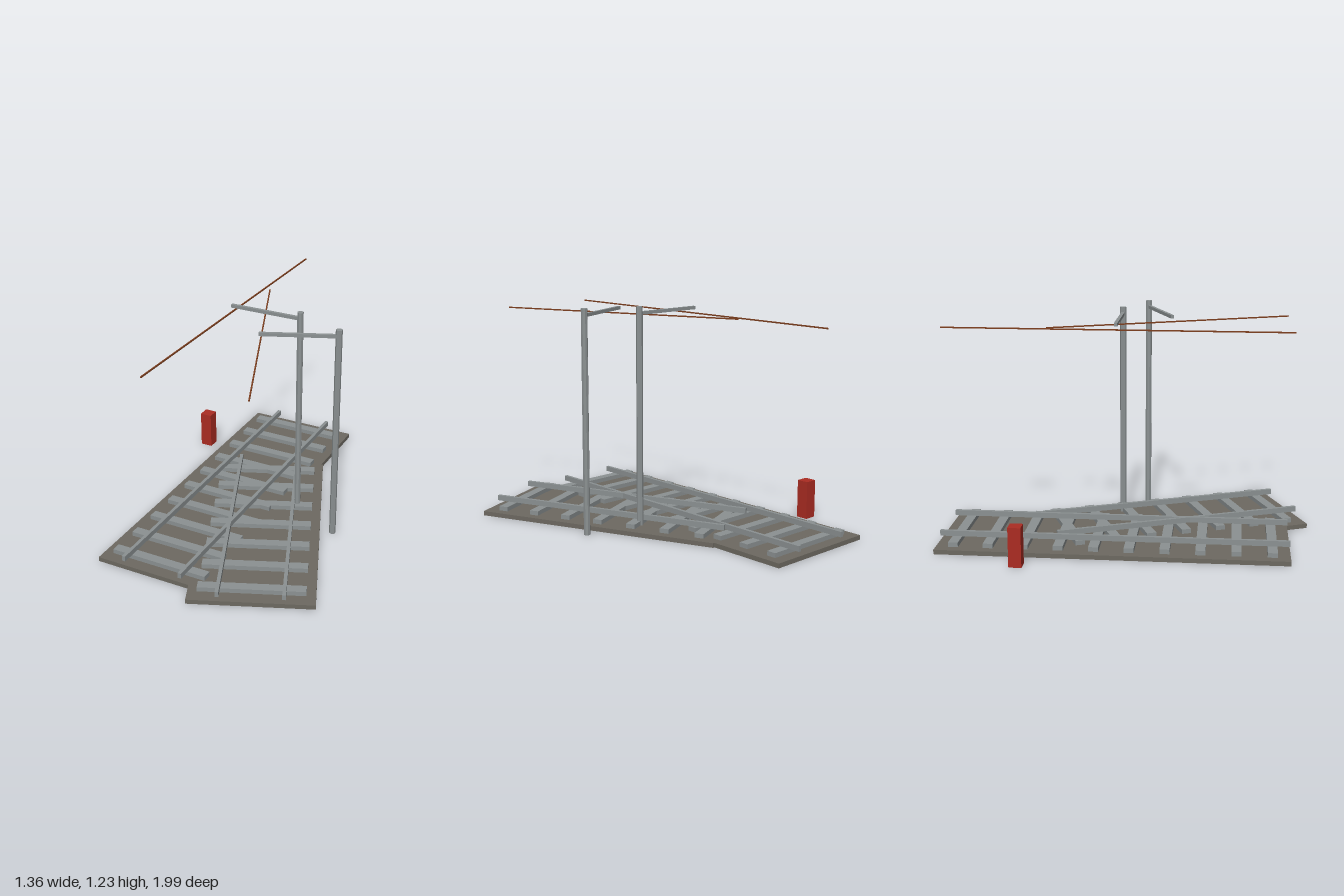
import * as THREE from 'three';

const steel = new THREE.MeshStandardMaterial({ color: 0x8b9192, flatShading: true });
steel.name = 'steelGrey';
const gravel = new THREE.MeshStandardMaterial({ color: 0x6d6961 });
gravel.name = 'gravelBrown';
const copper = new THREE.MeshStandardMaterial({ color: 0x7d3f1f });
copper.name = 'copperWire';
const red = new THREE.MeshStandardMaterial({ color: 0xab2c22 });
red.name = 'signalRed';

function box(parent, name, material, size, position) {
  const mesh = new THREE.Mesh(new THREE.BoxGeometry(...size), material);
  mesh.name = name;
  mesh.position.set(...position);
  parent.add(mesh);
  return mesh;
}

// One straight track along local z, with its mast and overhead wire
function createTrack(name, length, sleeperCount) {
  const track = new THREE.Group();
  track.name = name;
  box(track, 'ballastBed', gravel, [0.66, 0.025, length], [0, 0.0125, 0]);

  const spacing = length / sleeperCount;
  for (let i = 0; i < sleeperCount; i++) {
    box(track, 'sleeper', steel, [0.56, 0.025, 0.053], [0, 0.0375, (i + 0.5) * spacing - length / 2]);
  }
  for (const side of [-1, 1]) {
    box(track, 'rail', steel, [0.019, 0.03, length], [side * 0.17, 0.065, 0]);
  }

  // Overhead line equipment
  const mast = new THREE.Mesh(new THREE.CylinderGeometry(0.018, 0.018, 1.225, 8), steel);
  mast.name = 'mast';
  mast.position.set(0.4, 0.6125, 0);
  track.add(mast);
  box(track, 'mastArm', steel, [0.41, 0.018, 0.018], [0.195, 1.189, 0]);
  box(track, 'contactWire', copper, [0.007, 0.007, length], [0, 1.16, 0]);
  return track;
}

export function createModel() {
  const model = new THREE.Group();
  model.name = 'railwayJunction';

  const mainTrack = createTrack('mainTrack', 1.88, 10);
  mainTrack.position.set(-0.2, 0, -0.06);
  model.add(mainTrack);

  const branchTrack = createTrack('branchTrack', 1.41, 7);
  branchTrack.position.set(0.105, 0, 0.217);
  branchTrack.rotation.y = Math.PI / 8;
  model.add(branchTrack);

  // Trackside control box
  box(model, 'controlBox', red, [0.07, 0.215, 0.068], [-0.645, 0.1075, -0.533]);
  return model;
}
